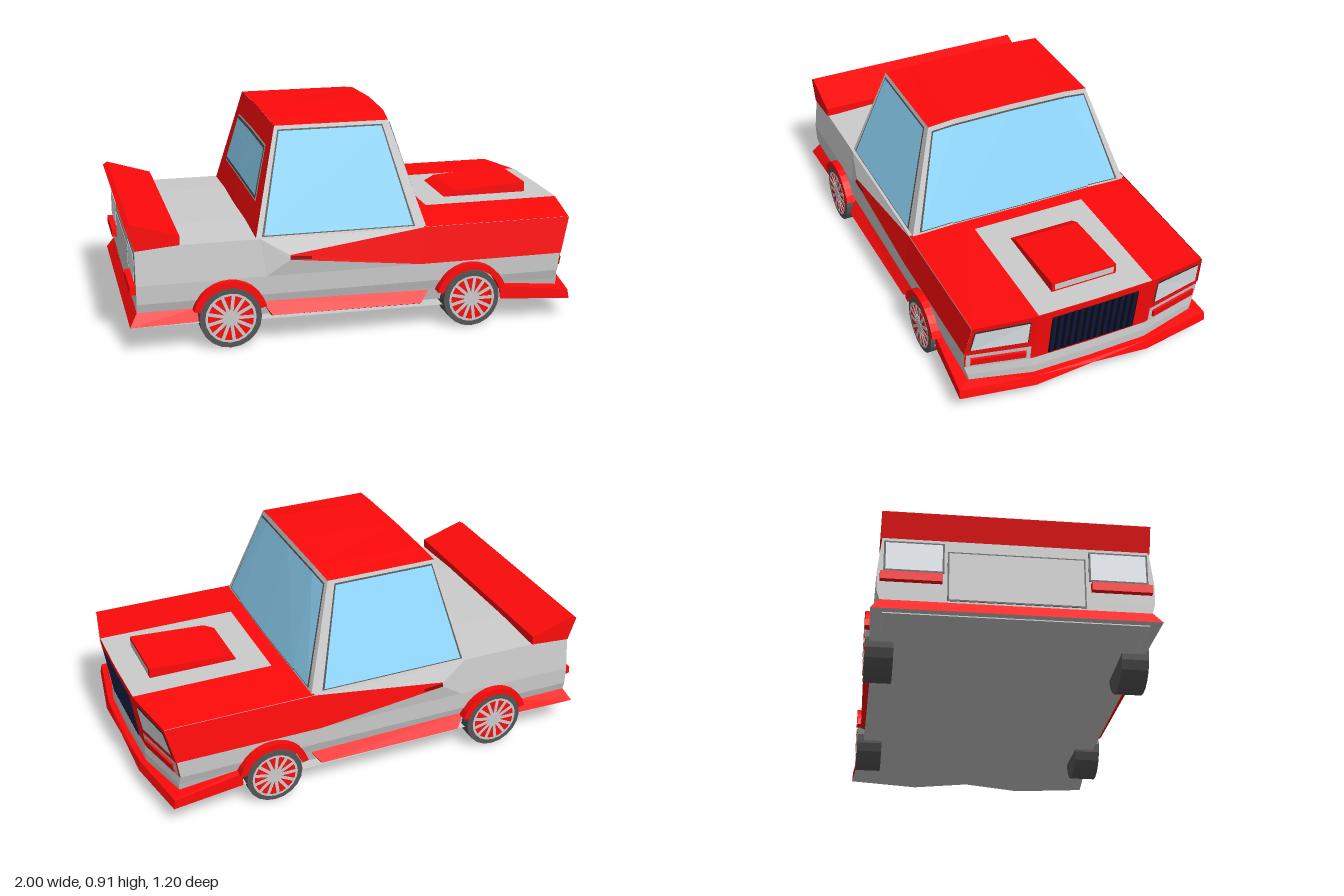
import * as THREE from 'three';

const RED = 0xff0a0a, GREY = 0xcccccc, DARK = 0x555555, GLASS = 0x93dbff, LAMP = 0xe6ecf2;
const mat = (color) => new THREE.MeshStandardMaterial({ color, flatShading: true, side: THREE.DoubleSide });

// Convex polygons fanned into one flat-shaded mesh, mirrored across z = 0
function panel(parent, name, color, polys) {
  const pos = [];
  for (const p of polys) {
    for (let i = 1; i < p.length - 1; i++) {
      pos.push(...p[0], ...p[i], ...p[i + 1]);
      for (const [x, y, z] of [p[0], p[i + 1], p[i]]) pos.push(x, y, -z);
    }
  }
  const g = new THREE.BufferGeometry();
  g.setAttribute('position', new THREE.Float32BufferAttribute(pos, 3));
  g.computeVertexNormals();
  const m = new THREE.Mesh(g, mat(color));
  m.name = name;
  parent.add(m);
}

// Sub-rectangle of a quad (a, b, c, d counterclockwise), lifted along its normal
function inset(quad, u0, u1, v0, v1, lift) {
  const [a, b, c, d] = quad.map((p) => new THREE.Vector3(...p));
  const n = b.clone().sub(a).cross(d.clone().sub(a)).normalize().multiplyScalar(lift);
  return [[u0, v0], [u1, v0], [u1, v1], [u0, v1]].map(([u, v]) =>
    a.clone().lerp(b, u).lerp(d.clone().lerp(c, u), v).add(n).toArray());
}

// Strips of quads between two point paths
const strip = (p, q) => p.slice(1).map((_, i) => [p[i], q[i], q[i + 1], p[i + 1]]);

function box(parent, name, color, size, pos) {
  const m = new THREE.Mesh(new THREE.BoxGeometry(...size), mat(color));
  m.name = name;
  m.position.set(...pos);
  parent.add(m);
  return m;
}

function makeWheel(r) {
  const wheel = new THREE.Group();
  const disc = (name, color, radius, depth, z) => {
    const m = new THREE.Mesh(new THREE.CylinderGeometry(radius, radius, depth, 20).rotateX(Math.PI / 2), mat(color));
    m.name = name;
    m.position.z = z;
    wheel.add(m);
  };
  disc('tire', DARK, r, 0.112, 0);
  disc('rimDisc', RED, r * 0.78, 0.01, 0.053);
  disc('hub', GREY, r * 0.2, 0.016, 0.053);
  const ring = new THREE.Mesh(new THREE.RingGeometry(r * 0.74, r * 0.82, 20), mat(GREY));
  ring.name = 'rimRing';
  ring.position.z = 0.06;
  wheel.add(ring);
  for (let i = 0; i < 13; i++) {
    const a = (i / 13) * Math.PI * 2;
    const s = box(wheel, 'spoke', GREY, [r * 0.65, r * 0.11, 0.01], [Math.cos(a) * r * 0.45, Math.sin(a) * r * 0.45, 0.055]);
    s.rotation.z = a;
  }
  return wheel;
}

export function createModel() {
  const root = new THREE.Group();
  root.name = 'car';
  const car = new THREE.Group();
  car.name = 'carBody';
  root.add(car);

  // Body shell: plan outlines at rising heights [edge y, centre y, half width, corner x, nose x]
  const levels = [[0.115, 0.115, 0.515, 0.89, 0.952], [0.17, 0.17, 0.528, 0.89, 0.955], [0.21, 0.21, 0.54, 0.885, 0.952],
    [0.29, 0.29, 0.542, 0.897, 0.962], [0.448, 0.46, 0.524, 0.937, 0.988]];
  const REAR = -0.95;
  const outlines = levels.map(([y, cy, w, cx, nx]) =>
    [[REAR, cy, 0], [REAR, cy, 0.26], [REAR, y, w], [cx, y, w], [nx, cy, 0.26], [nx + 0.004, cy, 0]]);
  const greyFaces = [], redFaces = [];
  for (let i = 0; i < 4; i++) {
    strip(outlines[i], outlines[i + 1]).forEach((q, k) => (k >= 3 && i >= 2 ? redFaces : greyFaces).push(q));
  }
  panel(car, 'bodyShell', GREY, greyFaces);
  panel(car, 'nose', RED, redFaces);
  const top = outlines[4];
  const across = (x) => [[x, 0.46, 0], [x, 0.46, 0.26], [x, 0.448, 0.524]];
  panel(car, 'hood', RED, strip(across(0.28), [top[5], top[4], top[3]]));
  panel(car, 'rearDeck', GREY, strip(across(REAR), across(0.28)));
  panel(car, 'hoodStripe', GREY, [[[0.37, 0.463, 0], [0.37, 0.463, 0.258], [0.987, 0.463, 0.258], [0.991, 0.463, 0]]]);

  // Floor reaching out to the lower edges of the skirts
  const floorEdge = [[-0.982, 0.12, 0.562], [-0.7, 0.115, 0.555], [-0.42, 0.102, 0.54], [0.35, 0.096, 0.54],
    [0.62, 0.105, 0.555], [0.932, 0.09, 0.58], [0.988, 0.09, 0.26]];
  const floorMid = [-0.982, -0.7, -0.42, 0.35, 0.62, 0.932, 0.991].map((x, i) => [x, [0.12, 0.112, 0.102, 0.1, 0.1, 0.104, 0.117][i], 0]);
  panel(car, 'floor', GREY, strip(floorMid, floorEdge));

  // Side wedge flaring out to an air intake behind the door
  const tipT = [-0.31, 0.378, 0.552], tipB = [-0.31, 0.358, 0.555], bend = [0.28, 0.448, 0.528], low = [0.26, 0.29, 0.546];
  const shoulder = [-0.43, 0.448, 0.524], flank = [-0.41, 0.29, 0.543];
  panel(car, 'sideWedge', RED, [[tipT, tipB, low, bend], [bend, low, [0.9, 0.29, 0.545], [0.939, 0.448, 0.527]]]);
  panel(car, 'wedgeFairing', GREY, [[shoulder, tipT, bend], [tipB, flank, low], [shoulder, flank, tipB, tipT]]);
  panel(car, 'sideIntake', 0x8a0808, [[[-0.31, 0.375, 0.556], [-0.31, 0.36, 0.558], [-0.22, 0.355, 0.556], [-0.22, 0.368, 0.555]]]);

  // Cabin, with the roof and windshield bowed in the middle
  const fr = [0.157, 0.888, 0.373], rr = [-0.337, 0.888, 0.373];
  const frMid = [0.168, 0.906, 0.26], frTop = [0.174, 0.914, 0], rrMid = [-0.337, 0.893, 0.26], rrTop = [-0.337, 0.897, 0];
  const baseRear = [-0.447, 0.447, 0.512], baseFront = [0.29, 0.447, 0.512], baseMid = [0.298, 0.46, 0.33];
  const sideQ = [baseRear, baseFront, fr, rr];
  const shieldOuter = [baseFront, baseMid, frMid, fr];
  const shieldInner = [baseMid, [0.302, 0.46, 0], frTop, frMid];
  const rearQ = [[-0.452, 0.455, 0], baseRear, rr, rrTop];
  panel(car, 'cabinFrame', GREY, [sideQ, shieldOuter, shieldInner]);
  panel(car, 'cabinRearWall', RED, [rearQ]);
  panel(car, 'roof', RED, [[fr, frMid, rrMid, rr], [frMid, frTop, rrTop, rrMid]]);
  panel(car, 'windowSeals', DARK, [inset(sideQ, 0.033, 0.935, 0.01, 0.965, 0.002),
    inset(shieldOuter, 0.16, 1, 0.02, 0.955, 0.002), inset(shieldInner, 0, 1, 0.01, 0.955, 0.002),
    inset(rearQ, 0, 0.77, 0.28, 0.77, 0.004)]);
  panel(car, 'rearWindowTrim', GREY, [inset(rearQ, 0, 0.785, 0.265, 0.785, 0.002)]);
  panel(car, 'windows', GLASS, [inset(sideQ, 0.045, 0.923, 0.02, 0.95, 0.004),
    inset(shieldOuter, 0.21, 1.01, 0.03, 0.94, 0.004), inset(shieldInner, -0.005, 1.005, 0.02, 0.94, 0.004),
    inset(rearQ, 0, 0.75, 0.31, 0.745, 0.006)]);

  // Hood scoop with a grey mouth
  const sc = (z) => [[0.485, 0.46], [0.54, 0.488], [0.88, 0.508], [0.88, 0.46]].map(([x, y]) => [x, y, z]);
  panel(car, 'hoodScoop', RED, [sc(0.147), ...strip(sc(0), sc(0.147))]);
  panel(car, 'scoopMouth', GREY, [[[0.883, 0.472, 0], [0.883, 0.472, 0.135], [0.883, 0.501, 0.135], [0.883, 0.501, 0]]]);

  // Headlights and bumper strips on the angled corners
  const cornerQ = (i) => [outlines[i][3], outlines[i][4], outlines[i + 1][4], outlines[i + 1][3]];
  panel(car, 'headlightBezels', 0x333333, [inset(cornerQ(3), 0.05, 0.9, 0.14, 0.87, 0.003)]);
  panel(car, 'headlights', LAMP, [inset(cornerQ(3), 0.065, 0.885, 0.17, 0.84, 0.006)]);
  const stripQ = cornerQ(2), stripFace = inset(stripQ, 0.08, 0.88, 0.27, 0.7, 0.012);
  panel(car, 'bumperPlates', GREY, [inset(stripQ, 0.02, 0.95, 0, 0.95, 0.003)]);
  panel(car, 'bumperStrips', RED, [stripFace, ...strip(stripFace, inset(stripQ, 0.08, 0.88, 0.27, 0.7, 0))]);

  // Grille
  panel(car, 'grille', 0x080814, [[[0.959, 0.22, 0], [0.958, 0.22, 0.198], [0.989, 0.43, 0.198], [0.99, 0.43, 0]]]);
  for (let i = -6; i <= 6; i++) {
    const bar = box(car, 'grilleBar', 0x10183a, [0.006, 0.208, 0.016], [0.974, 0.325, i * 0.0305]);
    bar.rotation.z = -0.146;
  }

  // Lower skirts: front splitter, rear valance and sills, each lofted through its paths
  const skirt = (name, ...paths) => {
    const faces = paths.slice(1).flatMap((p, i) => strip(paths[i], p));
    panel(car, name, RED, [...faces, paths.map((p) => p[0]), paths.map((p) => p.at(-1))]);
  };
  skirt('frontSplitter', [[0.62, 0.17, 0.53], [0.888, 0.14, 0.525], [0.952, 0.132, 0.26], [0.958, 0.132, 0]],
    [[0.62, 0.163, 0.553], [0.925, 0.13, 0.578], [0.978, 0.13, 0.26], [0.982, 0.13, 0]], floorEdge.slice(4).concat([[0.991, 0.117, 0]]));
  skirt('rearValance', [[-0.7, 0.172, 0.53], [REAR, 0.172, 0.53], [REAR, 0.172, 0]],
    [[-0.7, 0.12, 0.555], [-0.982, 0.12, 0.562], [-0.982, 0.12, 0]]);
  skirt('sill', [[-0.43, 0.178, 0.53], [0.3, 0.165, 0.528]], [[-0.39, 0.125, 0.568], [0.26, 0.118, 0.558]],
    [[-0.39, 0.112, 0.53], [0.26, 0.106, 0.53]]);

  // Rear spoiler
  const sp = (z) => [[-0.765, 0.45], [-0.765, 0.488], [-0.965, 0.55], [-0.985, 0.537], [-0.949, 0.435]]
    .map(([x, y]) => [x, y, z]);
  panel(car, 'spoiler', RED, [sp(0.53), ...strip(sp(0), sp(0.53))]);

  // Rear face: lamps, strips and centre panel
  for (const s of [1, -1]) {
    box(car, 'tailLampBezel', DARK, [0.006, 0.13, 0.235], [REAR, 0.36, s * 0.4]);
    box(car, 'tailLamp', LAMP, [0.01, 0.115, 0.22], [REAR, 0.36, s * 0.4]);
    box(car, 'rearBumperStrip', RED, [0.05, 0.035, 0.24], [REAR, 0.267, s * 0.41]);
  }
  box(car, 'rearPanelSeam', DARK, [0.006, 0.212, 0.54], [REAR, 0.285, 0]);
  box(car, 'rearPanel', GREY, [0.01, 0.2, 0.528], [REAR, 0.285, 0]);

  // Wheels and arches
  const arch = new THREE.Shape();
  arch.absarc(0, 0, 0.158, 0.25, Math.PI - 0.25, false);
  arch.absarc(0, 0, 0.13, Math.PI - 0.25, 0.25, true);
  const archGeo = new THREE.ExtrudeGeometry(arch, { depth: 0.065, bevelEnabled: false, curveSegments: 6 });
  for (const [x, r, name] of [[-0.568, 0.131, 'rear'], [0.483, 0.125, 'front']]) {
    for (const s of [1, -1]) {
      const wheel = makeWheel(r);
      wheel.name = name + 'Wheel';
      wheel.position.set(x, r, s * 0.514);
      if (s < 0) wheel.rotation.y = Math.PI;
      car.add(wheel);
      const a = new THREE.Mesh(archGeo, mat(RED));
      a.name = name + 'Arch';
      a.position.set(x, r, s > 0 ? 0.509 : -0.574);
      car.add(a);
    }
  }

  // Slight yaw of the whole car
  car.rotation.y = -0.03;
  car.position.z = -0.006;
  return root;
}
